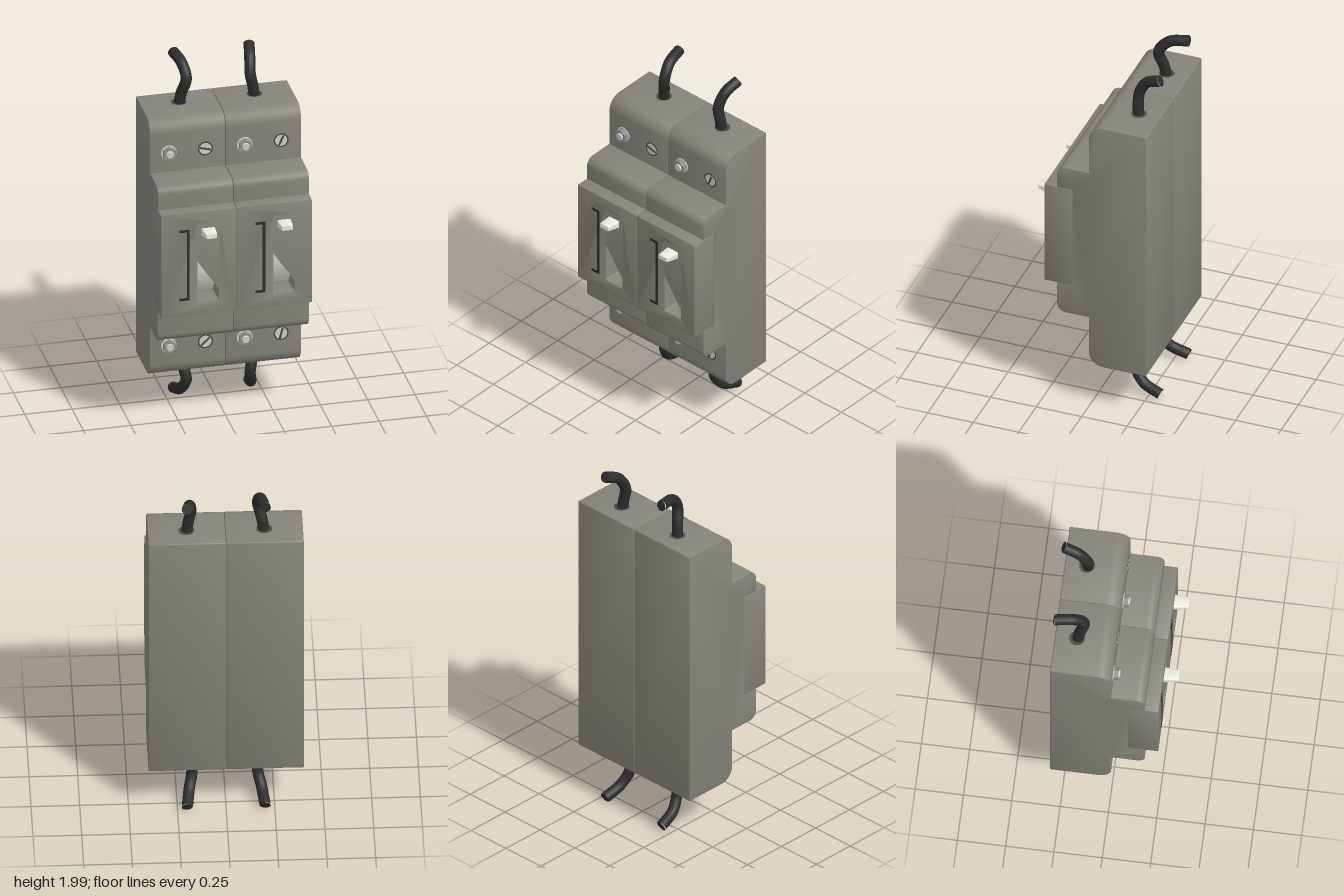
import * as THREE from 'three';
import { toCreasedNormals } from 'three/addons/utils/BufferGeometryUtils.js';

const mat = (color) => new THREE.MeshStandardMaterial({ color });
const casing = mat(0x84847a), cream = mat(0xecebdf), black = mat(0x2c2c2c);
const steel = mat(0xcccccc), nutGrey = mat(0x8c8c88), shadow = mat(0x4a4a45);

function add(parent, name, geometry, material, x = 0, y = 0, z = 0) {
  const mesh = new THREE.Mesh(geometry, material);
  mesh.name = name;
  mesh.position.set(x, y, z);
  parent.add(mesh);
  return mesh;
}

// Closed outline from [x, y, cornerRadius] points
function outline(points, target = new THREE.Shape()) {
  const n = points.length;
  points.forEach(([x, y, r = 0], i) => {
    const p = new THREE.Vector2(x, y);
    const toward = ([a, b]) => new THREE.Vector2(a, b).sub(p).setLength(r).add(p);
    const a = toward(points[(i + n - 1) % n]), b = toward(points[(i + 1) % n]);
    if (i === 0) target.moveTo(a.x, a.y); else target.lineTo(a.x, a.y);
    if (r > 0) {
      const c = p.clone();
      const ka = a.clone().lerp(c, 0.55), kb = b.clone().lerp(c, 0.55);
      target.bezierCurveTo(ka.x, ka.y, kb.x, kb.y, b.x, b.y);
    }
  });
  target.closePath();
  return target;
}

// Extrusion with a small bevel kept inside the given outline and depth
function extrude(shape, depth, bevel) {
  const geometry = new THREE.ExtrudeGeometry(shape, {
    depth: depth - 2 * bevel, curveSegments: 8, bevelEnabled: bevel > 0,
    bevelSize: bevel, bevelThickness: bevel, bevelOffset: -bevel, bevelSegments: 2,
  });
  geometry.translate(0, 0, bevel);
  return toCreasedNormals(geometry, 0.6);
}

// Side profile (z, y) swept across the width
function sweepAcross(shape, width, bevel) {
  return extrude(shape, width, bevel).translate(0, 0, -width / 2).rotateY(-Math.PI / 2);
}

function rect(x0, x1, y0, y1, r, target) {
  return outline([[x0, y0, r], [x1, y0, r], [x1, y1, r], [x0, y1, r]], target);
}

function disc(radius, depth, sides = 28) {
  return new THREE.CylinderGeometry(radius, radius, depth, sides).rotateX(Math.PI / 2);
}

function terminals(unit, y, slotAngle) {
  const bolt = new THREE.Group();
  bolt.name = 'hexTerminal';
  bolt.position.set(-0.1, y, 0);
  add(bolt, 'washer', disc(0.041, 0.008), steel);
  const nut = disc(0.036, 0.024, 6).toNonIndexed();
  nut.computeVertexNormals();
  add(bolt, 'nut', nut, nutGrey, 0, 0, 0.015);
  const stud = new THREE.CylinderGeometry(0.018, 0.022, 0.012, 24).rotateX(Math.PI / 2);
  add(bolt, 'stud', stud, steel, 0, 0, 0.03);
  unit.add(bolt);

  const screw = new THREE.Group();
  screw.name = 'slottedTerminal';
  screw.position.set(0.093, y, 0);
  screw.rotation.z = slotAngle;
  add(screw, 'screwHole', disc(0.04, 0.002), shadow);
  add(screw, 'screwHead', disc(0.032, 0.005), steel);
  add(screw, 'screwSlot', new THREE.BoxGeometry(0.06, 0.011, 0.007), shadow);
  unit.add(screw);
}

function cable(unit, name, points) {
  const curve = new THREE.CatmullRomCurve3(points.map((p) => new THREE.Vector3(...p)));
  add(unit, name, new THREE.TubeGeometry(curve, 40, 0.029, 16), black);
  const end = curve.getPoint(1);
  const cap = add(unit, name + 'End', new THREE.CircleGeometry(0.029, 16), black, end.x, end.y, end.z);
  cap.lookAt(end.clone().add(curve.getTangent(1)));
}

function createUnit() {
  const unit = new THREE.Group();
  unit.name = 'breakerUnit';

  // Stepped housing, notched where the front plate sits
  const profile = outline([
    [-0.315, 0.27, 0.006], [0, 0.27, 0.075], [0, 0.56], [0.175, 0.56, 0.045],
    [0.175, 0.737], [0.09, 0.737], [0.09, 1.323], [0.175, 1.323],
    [0.175, 1.45, 0.045], [0, 1.45], [0, 1.74, 0.075], [-0.315, 1.74, 0.006],
  ]);
  add(unit, 'housing', sweepAcross(profile, 0.398, 0.004), casing);

  // Front plate with the switch window
  const plate = rect(-0.199, 0.199, 0.735, 1.325, 0.004);
  plate.holes.push(rect(-0.005, 0.105, 0.81, 1.255, 0.006, new THREE.Path()));
  add(unit, 'frontPlate', extrude(plate, 0.157, 0.004), casing, 0, 0, 0.088);

  // Curved rocker behind the window
  const rocker = new THREE.Shape();
  const [cz, cy, r] = [-0.2, 1.1, 0.425];
  rocker.moveTo(0.085, 0.805);
  for (let i = 0; i <= 20; i++) {
    const y = 0.805 + (1.26 - 0.805) * i / 20;
    rocker.lineTo(cz + Math.sqrt(r * r - (y - cy) ** 2), y);
  }
  rocker.lineTo(0.085, 1.26);
  add(unit, 'rocker', sweepAcross(rocker, 0.11, 0), cream, 0.05);

  // Lever tapering toward its tip, with a sloping underside
  const lever = extrude(rect(-0.5, 0.5, -1, 0, 0.12), 1, 0.03);
  const p = lever.attributes.position;
  for (let i = 0; i < p.count; i++) {
    const t = p.getZ(i);
    p.setXYZ(i, p.getX(i) * (0.08 - 0.022 * t), p.getY(i) * (0.056 - 0.03 * t), 0.19 + 0.132 * t);
  }
  const leverGeometry = toCreasedNormals(lever, 0.6);
  add(unit, 'lever', leverGeometry, cream, 0.05, 1.23);

  // Bracket showing the lever travel
  const bracket = new THREE.Group();
  bracket.name = 'travelBracket';
  add(bracket, 'bracketBar', new THREE.BoxGeometry(0.014, 0.405, 0.01), black, -0.056, 1.028, 0.244);
  for (const y of [0.832, 1.224]) {
    add(bracket, 'bracketArm', new THREE.BoxGeometry(0.05, 0.013, 0.01), black, -0.076, y, 0.244);
  }
  unit.add(bracket);

  // Cable entry collars on the top and bottom faces
  for (const y of [0.27, 1.74]) {
    const collar = new THREE.CylinderGeometry(0.042, 0.042, 0.003, 28);
    add(unit, 'cableEntry', collar, shadow, 0, y, -0.2);
    const rim = new THREE.TorusGeometry(0.042, 0.003, 6, 28).rotateX(Math.PI / 2);
    add(unit, 'cableEntryRim', rim, casing, 0, y, -0.2);
  }
  return unit;
}

export function createModel() {
  const model = new THREE.Group();
  model.name = 'circuitBreaker';
  const left = createUnit(), right = createUnit();
  right.position.x = -0.2;
  left.position.x = 0.2;
  model.add(right, left);

  terminals(right, 1.56, -0.25);
  terminals(right, 0.45, 0.75);
  terminals(left, 1.56, 1.15);
  terminals(left, 0.45, 1.3);

  // Cables bend differently on each unit
  cable(right, 'topCable', [[0, 1.7, -0.2], [0.01, 1.79, -0.19], [0.033, 1.89, -0.168],
    [0.02, 1.955, -0.22], [0, 1.971, -0.32]]);
  cable(left, 'topCable', [[0, 1.7, -0.2], [-0.008, 1.78, -0.193], [-0.023, 1.86, -0.195],
    [-0.015, 1.935, -0.24], [0, 1.971, -0.32]]);
  cable(right, 'bottomCable', [[0, 0.3, -0.205], [0.016, 0.23, -0.185], [0.033, 0.16, -0.168],
    [0.014, 0.08, -0.22], [0, 0.038, -0.32]]);
  cable(left, 'bottomCable', [[0, 0.3, -0.205], [-0.015, 0.23, -0.185], [-0.03, 0.16, -0.168],
    [-0.014, 0.08, -0.22], [0, 0.038, -0.32]]);
  return model;
}
